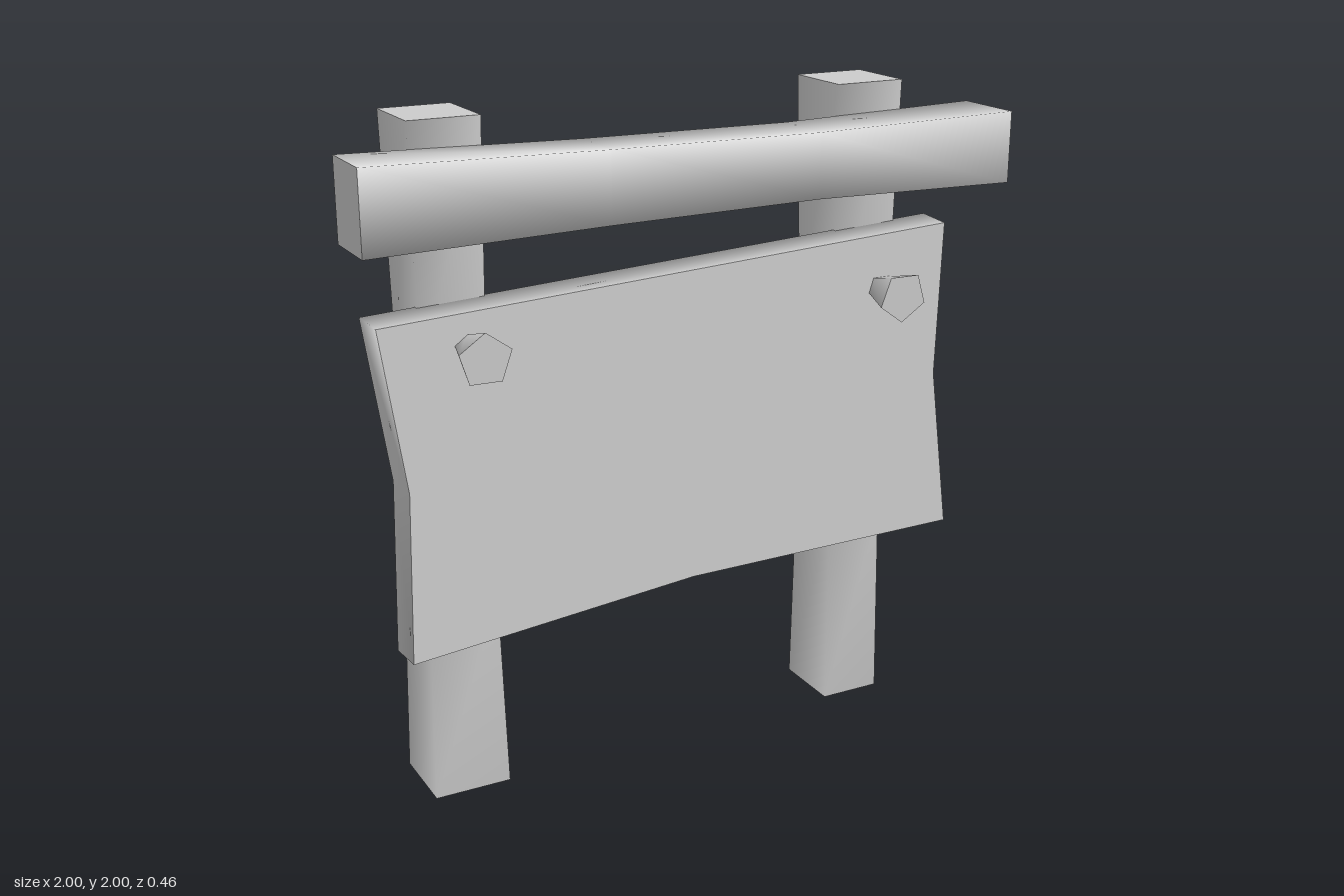
import * as THREE from 'three';
import { mergeVertices } from 'three/addons/utils/BufferGeometryUtils.js';

const V = (x, y, z) => new THREE.Vector3(x, y, z);
const material = new THREE.MeshStandardMaterial({ color: 0xcccccc, side: THREE.DoubleSide });

function surface(triangles) {
  let geometry = new THREE.BufferGeometry().setFromPoints(triangles);
  geometry = mergeVertices(geometry, 1e-5);
  geometry.computeVertexNormals();
  return new THREE.Mesh(geometry, material);
}

// Smooth skin through rings of corners, with optional sharp flat caps.
// Rings run counter-clockwise as seen from the far end.
function loft(name, rings, capStart, capEnd) {
  const group = new THREE.Group();
  group.name = name;
  const n = rings[0].length;
  const skin = [];
  for (let k = 0; k + 1 < rings.length; k++) {
    for (let i = 0; i < n; i++) {
      const j = (i + 1) % n, a = rings[k], b = rings[k + 1];
      skin.push(a[i], a[j], b[j], a[i], b[j], b[i]);
    }
  }
  const sides = surface(skin);
  sides.name = name + 'Sides';
  group.add(sides);

  const cap = (ring, flip) => {
    const mid = ring.reduce((s, p) => s.add(p), V(0, 0, 0)).divideScalar(n);
    const tris = [];
    ring.forEach((p, i) => {
      const q = ring[(i + 1) % n];
      tris.push(mid, flip ? q : p, flip ? p : q);
    });
    const mesh = surface(tris);
    mesh.name = name + 'End';
    group.add(mesh);
  };
  if (capStart) cap(rings[0], true);
  if (capEnd) cap(rings[rings.length - 1], false);
  return group;
}

// Upright post: sections are [y, x0, x1, zBack, zFront]
const post = (name, sections) => loft(name, sections.map(([y, x0, x1, z0, z1]) =>
  [V(x0, y, z0), V(x0, y, z1), V(x1, y, z1), V(x1, y, z0)]), false, true);

// Crossbeam: sections are [x, y0, y1, zBack, zFront]
const beam = (name, sections) => loft(name, sections.map(([x, y0, y1, z0, z1]) =>
  [V(x, y0, z0), V(x, y1, z0), V(x, y1, z1), V(x, y0, z1)]), true, true);

// Five-sided flared peg with a slightly slanted head
function peg(name, cx, cy, start) {
  const ring = (r, z, slant) => Array.from({ length: 5 }, (_, i) => {
    const a = start + i * Math.PI * 2 / 5;
    const dx = r * Math.cos(a), dy = r * Math.sin(a);
    return V(cx + dx, cy + dy, z + slant * (dx + dy));
  });
  return loft(name, [ring(0.037, 0.09, 0), ring(0.078, 0.224, 0.05)], false, true);
}

export function createModel() {
  const model = new THREE.Group();
  model.name = 'signpost';

  // Two posts, waisted in the middle
  model.add(post('rightPost', [
    [0, -0.81, -0.575, -0.228, 0.005],
    [0.6, -0.80, -0.59, -0.212, -0.005],
    [1.3, -0.79, -0.598, -0.207, -0.008],
    [2, -0.80, -0.59, -0.225, 0],
  ]));
  model.add(post('leftPost', [
    [0, 0.545, 0.74, -0.225, 0],
    [0.6, 0.547, 0.733, -0.21, -0.008],
    [1.3, 0.54, 0.738, -0.207, -0.008],
    [2, 0.53, 0.752, -0.228, 0],
  ]));

  // Beam across the front of the posts
  model.add(beam('crossbeam', [
    [-1, 1.695, 1.93, 0, 0.195],
    [-0.3, 1.708, 1.913, 0.005, 0.19],
    [0.35, 1.715, 1.905, 0.002, 0.193],
    [1, 1.705, 1.917, -0.01, 0.213],
  ]));

  // Crooked board with a flat front and a slightly bulging, softly shaded back
  const outline = [
    [-0.945, 1.483], [-0.876, 1.01], [-0.89, 0.5], [0, 0.585],
    [0.915, 0.594], [0.846, 1.1], [0.86, 1.575],
  ];
  model.add(loft('board', [
    outline.map(() => V(0, 1.04, -0.03)),
    outline.map(([x, y]) => V(x * 1.006, 1.04 + (y - 1.04) * 1.01, -0.018)),
    outline.map(([x, y]) => V(x, y, 0.1)),
  ], false, true));

  // Pegs fixing the board to the posts
  model.add(peg('rightPeg', -0.69, 1.395, Math.PI / 2));
  model.add(peg('leftPeg', 0.633, 1.4, -Math.PI / 2));

  return model;
}
